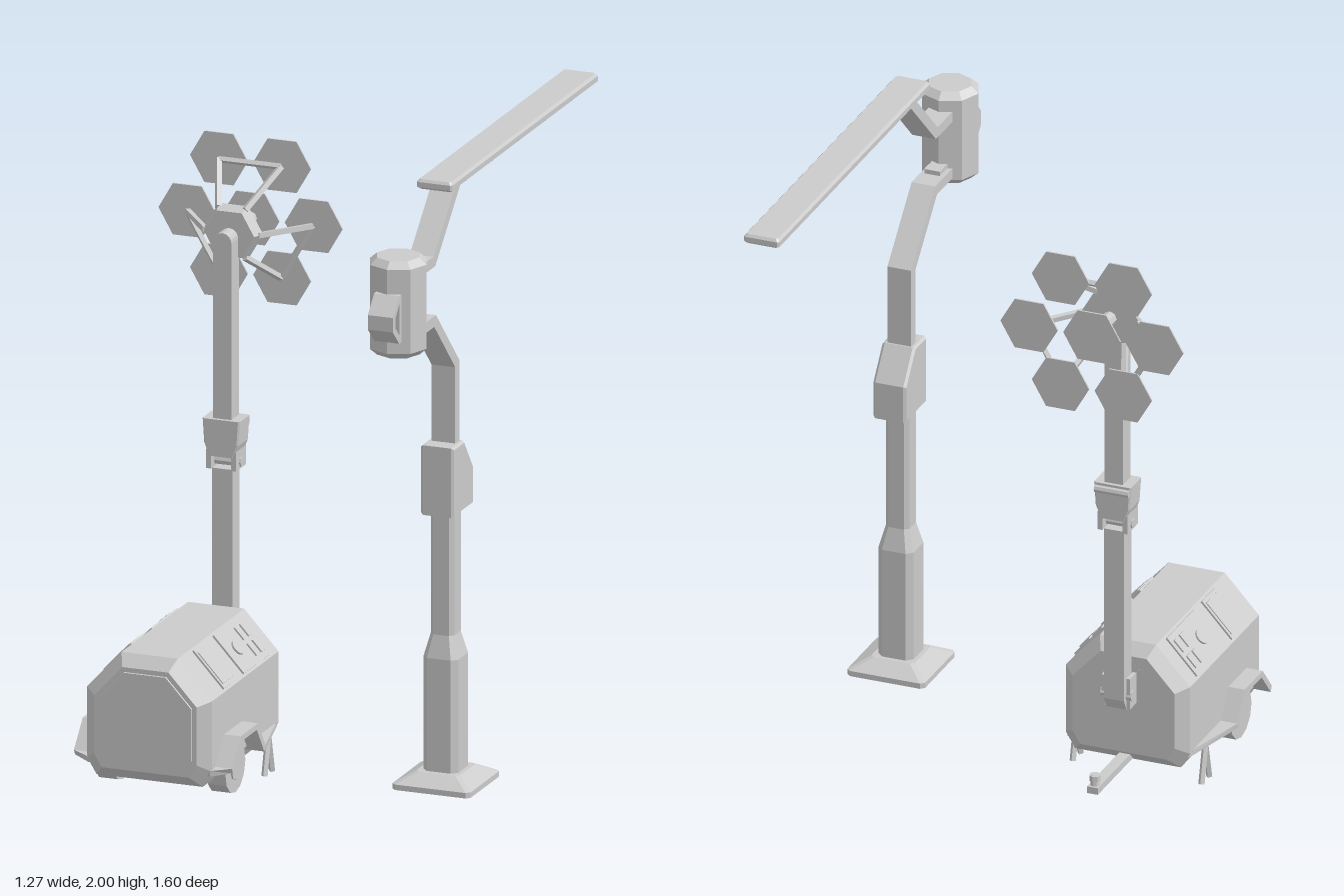
import * as THREE from 'three';

const mat = new THREE.MeshStandardMaterial({ color: 0xcccccc, flatShading: true, side: THREE.DoubleSide });
const V2 = (a) => new THREE.Vector2(a[0], a[1]);

function add(parent, name, geo, x = 0, y = 0, z = 0) {
  const m = new THREE.Mesh(geo, mat);
  m.name = name;
  m.position.set(x, y, z);
  parent.add(m);
  return m;
}
const box = (w, h, d) => new THREE.BoxGeometry(w, h, d);
const cyl = (r1, r2, h, n) => new THREE.CylinderGeometry(r1, r2, h, n);

// Side profile of [z, y] points, extruded to a width centred on x
function sideExtrude(pts, width, hole) {
  const s = new THREE.Shape(pts.map(V2));
  if (hole) s.holes.push(new THREE.Path(hole.map(V2)));
  return new THREE.ExtrudeGeometry(s, { depth: width, bevelEnabled: false })
    .translate(0, 0, -width / 2).rotateY(-Math.PI / 2);
}

// Band of constant thickness along a [z, y] path, with mitred bends
function band(path, t, width) {
  const p = path.map(V2), up = [], down = [];
  p.forEach((q, i) => {
    const a = (i ? q.clone().sub(p[i - 1]) : p[1].clone().sub(q)).normalize();
    const b = (i < p.length - 1 ? p[i + 1].clone().sub(q) : a.clone()).normalize();
    const n = new THREE.Vector2(-a.y - b.y, a.x + b.x).normalize();
    n.multiplyScalar(t / 2 / (n.x * -a.y + n.y * a.x));
    up.push([q.x + n.x, q.y + n.y]);
    down.unshift([q.x - n.x, q.y - n.y]);
  });
  return sideExtrude(up.concat(down), width);
}

// Skin over counter-clockwise rings stacked along z, with end caps
function loft(rings) {
  const pos = [], n = rings[0].length;
  const tri = (...v) => v.forEach((q) => pos.push(...q));
  for (let i = 0; i < rings.length - 1; i++) for (let j = 0; j < n; j++) {
    const k = (j + 1) % n, a = rings[i], b = rings[i + 1];
    tri(a[j], a[k], b[k]);
    tri(a[j], b[k], b[j]);
  }
  const f = rings[0], l = rings[rings.length - 1];
  for (let j = 1; j < n - 1; j++) {
    tri(f[0], f[j + 1], f[j]);
    tri(l[0], l[j], l[j + 1]);
  }
  const g = new THREE.BufferGeometry();
  g.setAttribute('position', new THREE.Float32BufferAttribute(pos, 3));
  g.computeVertexNormals();
  return g;
}

// Upright column of chamfered rectangles: [y, halfX, halfZ, chamfer]
function column(levels) {
  return loft(levels.map(([y, w, d, c]) => [[w, c - d], [w, d - c], [w - c, d], [c - w, d],
    [-w, d - c], [-w, c - d], [c - w, -d], [w - c, -d]].map(([a, b]) => [a, b, y]))).rotateX(-Math.PI / 2);
}

// Square bar between two points
function bar(parent, name, a, b, r, n = 4) {
  const A = new THREE.Vector3(...a), B = new THREE.Vector3(...b), d = B.clone().sub(A);
  const m = add(parent, name, cyl(r, r, d.length(), n));
  m.position.copy(A).add(B).multiplyScalar(0.5);
  m.quaternion.setFromUnitVectors(new THREE.Vector3(0, 1, 0), d.normalize());
}

function trailer() {
  const g = new THREE.Group();
  g.name = 'trailer';
  const half = [[0.17, 0.08], [0.2, 0.13], [0.2, 0.35], [0.09, 0.47]];
  const section = half.concat(half.map(([x, y]) => [-x, y]).reverse());
  const ring = (z, s) => section.map(([x, y]) => [x * s, 0.275 + (y - 0.275) * s, z]);
  add(g, 'body', loft([ring(-0.035, 0.82), ring(0, 1), ring(0.53, 1), ring(0.565, 0.82)]));
  add(g, 'endPanel', loft([ring(0.56, 0.75), ring(0.57, 0.74)]));

  for (const s of [-1, 1]) {
    // Running board arched over the wheel, with tapered ends
    const fender = band([[0, 0.125], [0.24, 0.125], [0.3, 0.21], [0.43, 0.21], [0.5, 0.13], [0.535, 0.125]], 0.018, 0.075);
    const p = fender.attributes.position;
    for (let i = 0; i < p.count; i++) {
      if (p.getX(i) * s > 0 && (p.getZ(i) < 0.02 || p.getZ(i) > 0.52)) p.setX(i, -0.02 * s);
    }
    // Extra corner where the front taper ends
    add(g, 'fender', fender, s * 0.215);
    add(g, 'wheel', cyl(0.08, 0.08, 0.06, 12).rotateZ(Math.PI / 2), s * 0.18, 0.1, 0.37);
    add(g, 'wheelHub', cyl(0.04, 0.04, 0.07, 8).rotateZ(Math.PI / 2), s * 0.18, 0.1, 0.37);
    for (const z of [0.07, 0.13]) bar(g, 'standLeg', [s * 0.207, 0.12, 0.1], [s * 0.207, 0, z], 0.01);

    // Control panels on the sloping roof
    const slope = new THREE.Group();
    slope.name = 'roofControls';
    slope.position.set(s * 0.145, 0.41, 0);
    slope.rotation.z = -s * Math.atan2(0.12, 0.11);
    add(slope, 'controlPanel', box(0.145, 0.012, 0.21), 0, 0, 0.165);
    add(slope, 'accessHatch', box(0.145, 0.012, 0.1), 0, 0, 0.38);
    add(slope, 'hatchInset', box(0.12, 0.018, 0.08), 0, 0, 0.38);
    for (const x of [-0.03, 0.03]) for (const z of [0.09, 0.13])
      add(slope, 'gauge', box(0.045, 0.022, 0.028), x, 0, z);
    add(slope, 'dial', cyl(0.024, 0.024, 0.024, 12), 0, 0, 0.205);
    g.add(slope);
  }
  add(g, 'towBar', box(0.035, 0.022, 0.3), 0, 0.095, -0.125);
  add(g, 'towHitch', cyl(0.012, 0.015, 0.05, 8), 0, 0.115, -0.255);
  add(g, 'hitchHead', cyl(0.018, 0.018, 0.018, 8), 0, 0.13, -0.255);
  return g;
}

function mast() {
  const g = new THREE.Group();
  g.name = 'dishMast';
  add(g, 'pivotDisc', cyl(0.075, 0.085, 0.015, 12).rotateX(Math.PI / 2), 0, 0.34, -0.038);
  for (const s of [-1, 1]) add(g, 'pivotBracket', box(0.012, 0.1, 0.06), s * 0.04, 0.34, -0.065);
  add(g, 'pivotPin', cyl(0.018, 0.018, 0.1, 8).rotateZ(Math.PI / 2), 0, 0.33, -0.08);
  add(g, 'lowerMast', sideExtrude([[-0.05, 0.3], [-0.065, 0.28], [-0.09, 0.285], [-0.108, 0.32],
    [-0.108, 0.88], [-0.05, 0.88]], 0.065));
  // Folding hinge: cheeks taper in towards the lower mast
  add(g, 'hingeBlock', column([[0.92, 0.04, 0.042, 0.005], [0.96, 0.055, 0.042, 0.005], [1.035, 0.06, 0.042, 0.005]]), 0, 0, -0.08);
  for (const s of [-1, 1]) add(g, 'hingeCheek', box(0.016, 0.06, 0.08), s * 0.04, 0.91, -0.08);
  add(g, 'hingePin', cyl(0.016, 0.016, 0.105, 8).rotateZ(Math.PI / 2), 0, 0.9, -0.08);
  add(g, 'hingeLatch', cyl(0.013, 0.013, 0.11, 8).rotateZ(Math.PI / 2), 0, 1.015, -0.12);
  // Upper mast with a rounded head
  const s = new THREE.Shape();
  s.moveTo(-0.029, 1);
  s.lineTo(0.029, 1);
  s.lineTo(0.029, 1.585);
  s.absarc(0, 1.585, 0.029, 0, Math.PI, false);
  add(g, 'upperMast', new THREE.ExtrudeGeometry(s, { depth: 0.06, bevelEnabled: false, curveSegments: 4 }), 0, 0, -0.11);

  // Dish: hub, six outer facets around one centre facet, and strut frames
  const hex = (r1, r2, d) => cyl(r1, r2, d, 6).rotateY(Math.PI / 6).rotateX(Math.PI / 2);
  const dish = new THREE.Group();
  dish.name = 'dish';
  dish.position.y = 1.595;
  add(dish, 'dishHub', hex(0.08, 0.095, 0.035), 0, 0, -0.122);
  add(dish, 'centreRod', cyl(0.022, 0.022, 0.14, 8).rotateX(Math.PI / 2), 0, 0, -0.205);
  add(dish, 'centreFacet', hex(0.092, 0.092, 0.006), 0, 0, -0.277);
  const at = (deg, r, z) => [r * Math.cos(deg * Math.PI / 180), r * Math.sin(deg * Math.PI / 180), z];
  for (let a = 0; a < 360; a += 60) {
    add(dish, 'dishFacet', hex(0.092, 0.092, 0.006), ...at(a, 0.202, -0.277));
    bar(dish, 'dishStrut', at(a, 0.085, -0.125), at(a, 0.2, -0.27), 0.011);
  }
  for (const a of [60, 180, 300]) bar(dish, 'strutCrossbar', at(a, 0.2, -0.27), at(a + 60, 0.2, -0.27), 0.01);
  g.add(dish);
  return g;
}

function streetLamp() {
  const g = new THREE.Group();
  g.name = 'lampPost';
  add(g, 'basePlate', column([[0.1, 0.125, 0.125, 0.012], [0.117, 0.125, 0.125, 0.012], [0.148, 0.07, 0.07, 0.012]]), 0, 0, 0.28);
  add(g, 'post', column([[0.13, 0.056, 0.056, 0.018], [0.5, 0.056, 0.056, 0.018],
    [0.57, 0.038, 0.038, 0.013], [0.96, 0.038, 0.038, 0.013]]), 0, 0, 0.28);
  // Control box with a sloped rear top
  const s = new THREE.Shape([[0.345, 0.955], [0.345, 1.16], [0.265, 1.16], [0.195, 1.065], [0.195, 0.955]].map(V2));
  add(g, 'controlBox', new THREE.ExtrudeGeometry(s, { depth: 0.09, bevelSize: 0.006, bevelThickness: 0.008, bevelSegments: 1 })
    .translate(0, 0, -0.045).rotateY(-Math.PI / 2));
  add(g, 'lowerArm', band([[0.283, 1.15], [0.283, 1.41], [0.46, 1.595], [0.6, 1.595]], 0.033, 0.076));
  add(g, 'upperArm', band([[0.6, 1.782], [0.465, 1.782], [0.27, 1.972]], 0.033, 0.076));
  for (const y of [1.62, 1.755]) add(g, 'armClamp', box(0.05, 0.014, 0.08), 0, y, 0.56);
  // Eight-sided lamp housing with chamfered ends
  const profile = [[0, 1.553], [0.068, 1.553], [0.091, 1.573], [0.091, 1.835], [0.068, 1.855], [0, 1.855]];
  add(g, 'lampHousing', new THREE.LatheGeometry(profile.map(V2), 8), 0, 0, 0.66);
  add(g, 'housingHandle', sideExtrude([[0.73, 1.61], [0.752, 1.61], [0.803, 1.66], [0.803, 1.705], [0.752, 1.758], [0.73, 1.758]],
    0.08, [[0.75, 1.635], [0.78, 1.665], [0.78, 1.7], [0.75, 1.735]]));
  // Long solar panel with bevelled edges
  add(g, 'solarPanel', column([[1.97, 0.05, 0.58, 0.006], [1.976, 0.057, 0.587, 0.006],
    [1.992, 0.057, 0.587, 0.006], [2, 0.05, 0.58, 0.006]]), 0, 0, -0.213);
  return g;
}

export function createModel() {
  const model = new THREE.Group();
  model.name = 'trailerDishAndLamp';
  const left = new THREE.Group();
  left.name = 'dishTrailer';
  left.add(trailer(), mast());
  left.position.x = -0.342;
  const lamp = streetLamp();
  lamp.position.x = 0.505;
  model.add(left, lamp);
  return model;
}
